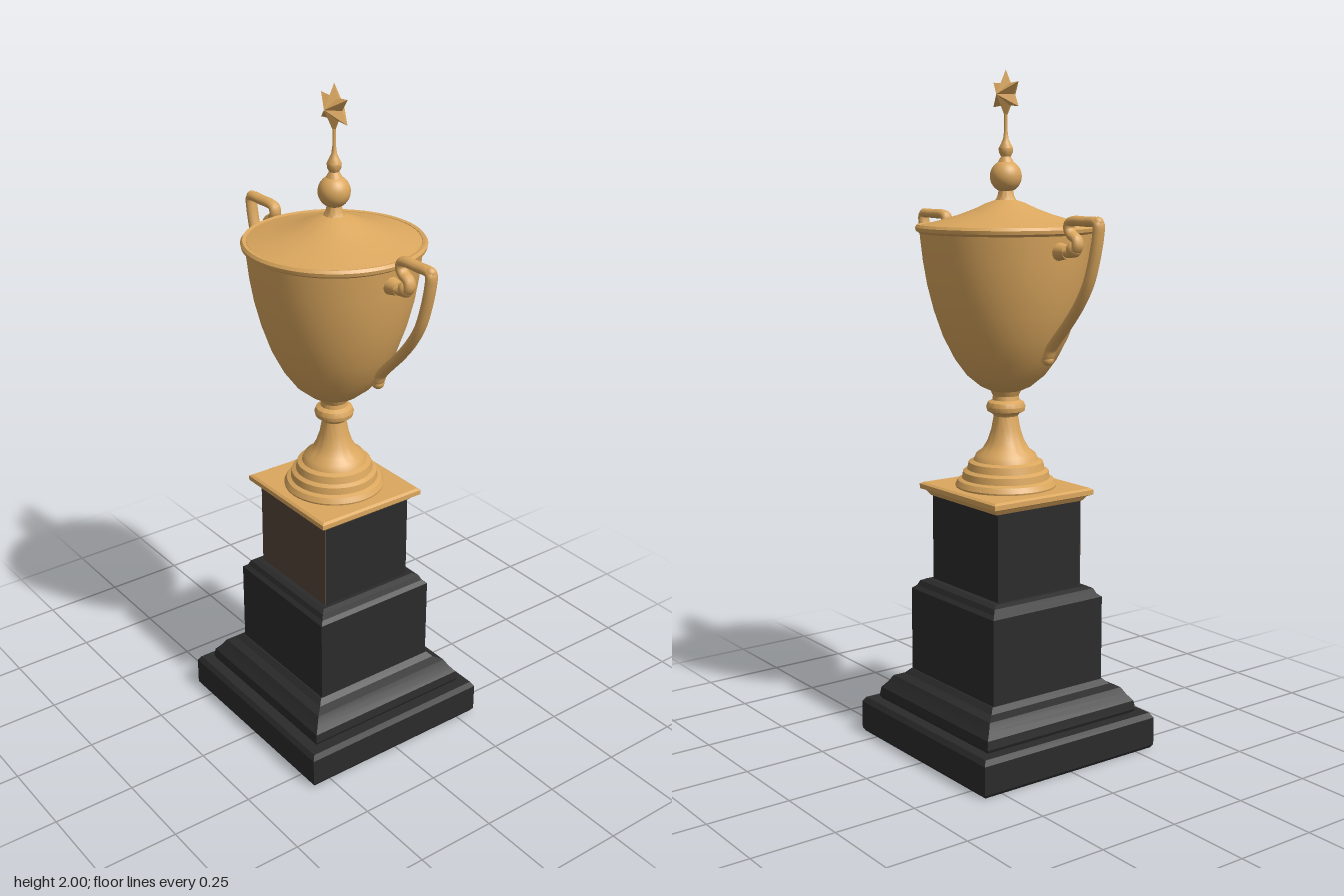
import * as THREE from 'three';
import { toCreasedNormals } from 'three/addons/utils/BufferGeometryUtils.js';

const material = (name, color) => {
  const m = new THREE.MeshStandardMaterial({ color });
  m.name = name;
  return m;
};

const vec2 = (points) => points.map(([x, y]) => new THREE.Vector2(x, y));

// Turned part: smooth, with sharp edges kept
function turned(points, segments = 48) {
  return toCreasedNormals(new THREE.LatheGeometry(vec2(points), segments), 0.6);
}

// Square moulding: profile of [half width, y], depth scaled
function squareStack(points, depth = 1) {
  const first = points[0], last = points[points.length - 1];
  const outline = [[0, first[1]], ...points, [0, last[1]]]
    .map(([h, y]) => [h * Math.SQRT2, y]);
  const g = new THREE.LatheGeometry(vec2(outline), 4, Math.PI / 4);
  g.scale(1, 1, depth);
  return toCreasedNormals(g, 0.3);
}

// Solid star with a ridge along each point and an apex front and back
function starGeometry(outer, inner, thickness, points = 6) {
  const verts = [];
  const at = (i) => {
    const a = Math.PI / 2 + (i * Math.PI) / points;
    const r = i % 2 ? inner : outer;
    return [r * Math.cos(a), r * Math.sin(a), 0];
  };
  for (let i = 0; i < points * 2; i++) {
    verts.push(...at(i), ...at(i + 1), 0, 0, thickness);
    verts.push(...at(i + 1), ...at(i), 0, 0, -thickness);
  }
  const g = new THREE.BufferGeometry();
  g.setAttribute('position', new THREE.Float32BufferAttribute(verts, 3));
  g.computeVertexNormals();
  return g;
}

export function createModel() {
  const model = new THREE.Group();
  model.name = 'trophy';
  const gold = material('gold', 0xdba75e);
  const black = material('black', 0x2b2b2c);
  const brown = material('brown', 0x554439);

  const add = (name, geometry, mat, parent = model) => {
    const mesh = new THREE.Mesh(geometry, mat);
    mesh.name = name;
    parent.add(mesh);
    return mesh;
  };

  // Stepped plinth
  add('plinthBase', squareStack([[0.315, 0], [0.322, 0.01], [0.322, 0.095], [0.312, 0.11]], 0.975), black);
  add('plinthMoulding', squareStack([
    [0.275, 0.105], [0.282, 0.12], [0.278, 0.145], [0.262, 0.165],
    [0.25, 0.185], [0.225, 0.195], [0.21, 0.21],
  ], 0.975), black);
  add('plinthMiddle', squareStack([[0.209, 0.2], [0.209, 0.465], [0.197, 0.475], [0.19, 0.49], [0.175, 0.497]], 0.96), black);
  add('plinthTop', squareStack([[0.164, 0.49], [0.164, 0.775]], 0.92), black);

  // Thin front panel
  add('frontPanel', new THREE.BoxGeometry(0.326, 0.272, 0.006), brown).position.set(0, 0.634, 0.151);

  // Square plate under the cup
  add('goldPlate', squareStack([[0.165, 0.756], [0.175, 0.77], [0.19, 0.776], [0.19, 0.79], [0.182, 0.795]], 0.95), gold);

  // Stepped foot, stem and knop
  add('foot', turned([
    [0, 0.785], [0.147, 0.785], [0.15, 0.8], [0.142, 0.815], [0.13, 0.82],
    [0.127, 0.84], [0.115, 0.847], [0.11, 0.868], [0.096, 0.874], [0.088, 0.892],
    [0.07, 0.905], [0.055, 0.93], [0.043, 0.965], [0.036, 1.005], [0.04, 1.012],
    [0.055, 1.02], [0.058, 1.033], [0.053, 1.046], [0.04, 1.053],
    [0.038, 1.065], [0.046, 1.082], [0, 1.09],
  ]), gold);

  // Bowl with rim
  add('bowl', turned([
    [0, 1.075], [0.04, 1.078], [0.075, 1.094], [0.115, 1.127], [0.15, 1.175],
    [0.183, 1.24], [0.209, 1.315], [0.228, 1.39], [0.24, 1.46], [0.249, 1.54],
    [0.26, 1.547], [0.262, 1.557], [0.256, 1.565], [0.246, 1.563], [0.243, 1.553], [0, 1.553],
  ], 64), gold);

  // Lid
  add('lid', turned([
    [0.246, 1.55], [0.245, 1.562], [0.19, 1.576], [0.135, 1.592], [0.09, 1.609],
    [0.056, 1.625], [0.03, 1.634], [0.024, 1.645], [0.02, 1.665], [0, 1.67],
  ], 64), gold);

  // Finial: ball, bead and spike
  add('finialBall', new THREE.SphereGeometry(0.046, 32, 20), gold).position.y = 1.701;
  add('finialSpike', turned([
    [0.026, 1.735], [0.018, 1.75], [0.014, 1.757], [0.02, 1.768], [0.021, 1.78],
    [0.014, 1.794], [0.008, 1.806], [0.005, 1.83], [0.005, 1.875], [0, 1.88],
  ], 16), gold);
  add('star', starGeometry(0.069, 0.036, 0.034), gold).position.y = 1.931;

  // Handles: scroll at the rim, flat top, sweeping strap, curled end
  const path = [
    [0.24, 1.498], [0.275, 1.496], [0.305, 1.5], [0.322, 1.515], [0.318, 1.534],
    [0.296, 1.546], [0.285, 1.562], [0.289, 1.579], [0.306, 1.584], [0.355, 1.584],
    [0.4, 1.584], [0.409, 1.578], [0.407, 1.545], [0.392, 1.48], [0.37, 1.418],
    [0.334, 1.36], [0.285, 1.302], [0.235, 1.252], [0.208, 1.222], [0.199, 1.202], [0.192, 1.19],
  ].map(([x, y]) => new THREE.Vector3(x, y, 0));
  const curve = new THREE.CatmullRomCurve3(path, false, 'centripetal');

  for (const [name, side, z] of [['leftHandle', 1, -0.01], ['rightHandle', -1, 0.003]]) {
    const handle = new THREE.Group();
    handle.name = name;
    handle.position.z = z;
    handle.rotation.y = side > 0 ? 0 : Math.PI;
    model.add(handle);
    const strap = new THREE.TubeGeometry(curve, 120, 0.014, 12);
    strap.scale(1, 1, 1.3);
    add('strap', strap, gold, handle);
    // Rounded ends and corner, and the collar on the bowl
    const knob = (part, x, y, r) => add(part, new THREE.SphereGeometry(r, 16, 12), gold, handle).position.set(x, y, 0);
    knob('strapEnd', 0.193, 1.191, 0.018);
    knob('scrollKnob', 0.306, 1.506, 0.022);
    knob('topCorner', 0.406, 1.583, 0.016);
    const collar = add('collar', new THREE.CylinderGeometry(0.019, 0.027, 0.04, 16), gold, handle);
    collar.position.set(0.257, 1.498, 0);
    collar.rotation.z = -Math.PI / 2;
  }

  return model;
}
